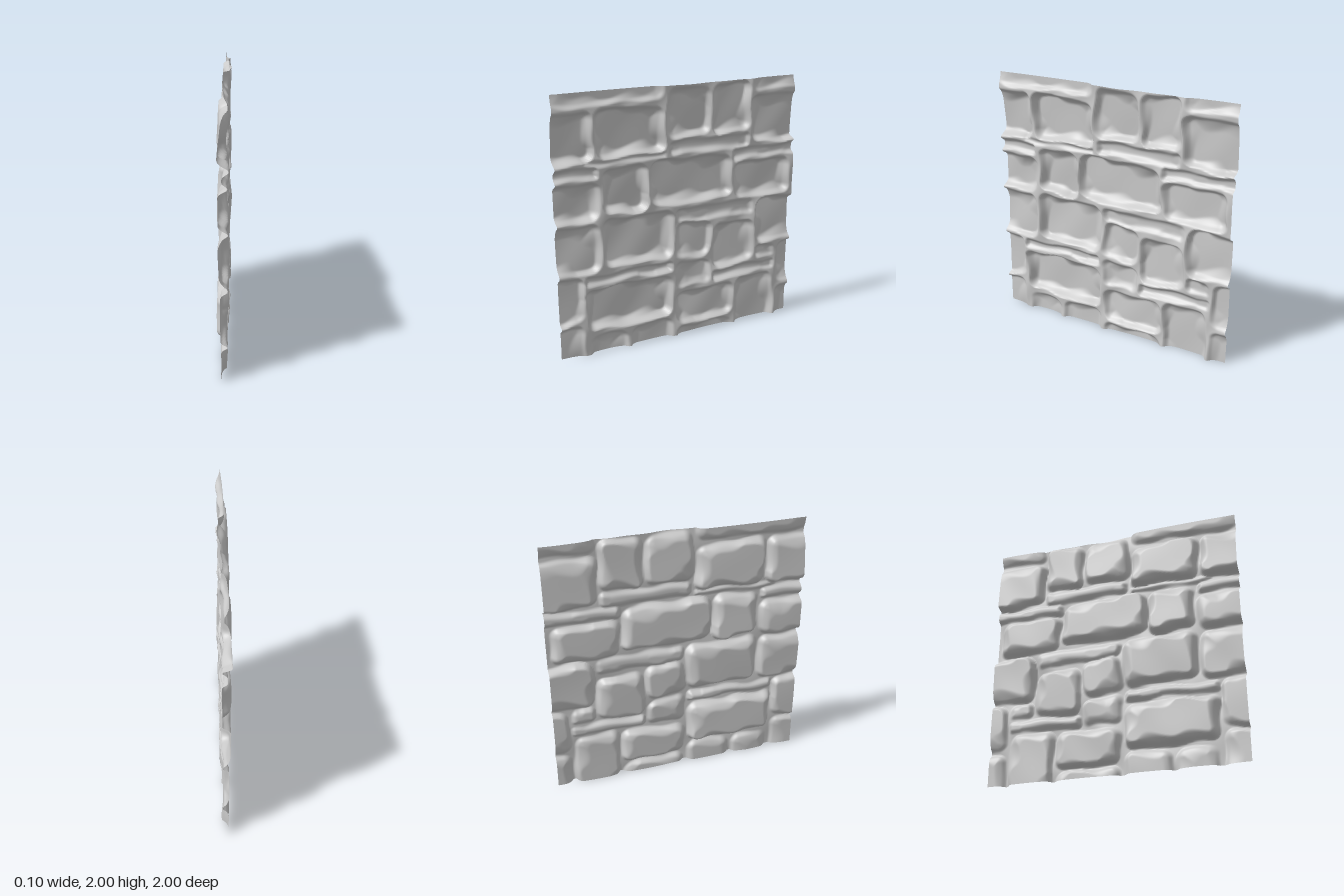
import * as THREE from 'three';

// Stones per course: [zMax, zMin, yMin, yMax, bulge, lean]; lean makes the top stand out further than the foot.
// Stones beyond the border run on past it.
const bottomCourse = [
  [1.2, 0.8, -0.2, 0.26, 0.06, 0], [1.2, 0.8, 0.26, 0.66, 0.064, 0],
  [0.79, 0.45, -0.2, 0.17, 0.064, 0.03], [0.45, 0.07, -0.2, 0.18, 0.056, 0],
  [0.8, 0.07, 0.18, 0.54, 0.095, 0], [0.8, 0.07, 0.55, 0.65, 0.048, 0],
  [0.06, -0.48, 0.08, 0.38, 0.073, 0.03], [0.06, -0.48, -0.2, 0.08, 0.055, 0],
  [-0.48, -0.86, -0.2, 0.4, 0.066, 0], [-0.86, -1.2, -0.2, 0.27, 0.06, 0],
  [-0.86, -1.2, 0.27, 0.65, 0.06, 0], [-0.26, -0.86, 0.4, 0.51, 0.05, 0],
  [0.07, -0.26, 0.39, 0.63, 0.057, 0], [-0.66, -0.86, 0.51, 0.65, 0.05, 0],
];
const middleCourse = [
  [1.2, 0.66, 0.66, 1.05, 0.073, 0.03], [0.65, 0.06, 0.67, 1.07, 0.082, 0.035],
  [0.06, -0.26, 0.63, 0.95, 0.067, 0], [-0.26, -0.66, 0.51, 0.89, 0.073, 0.02],
  [0.06, -0.65, 0.92, 1.07, 0.047, 0], [-0.66, -1.2, 0.65, 1.05, 0.073, 0.02],
  [1.2, 0.66, 1.05, 1.37, 0.078, -0.02], [0.65, 0.27, 1.08, 1.46, 0.09, -0.03],
  [0.27, -0.44, 1.09, 1.46, 0.085, -0.03], [-0.44, -0.98, 1.05, 1.37, 0.075, -0.02],
  [1.2, 0.66, 1.37, 1.48, 0.05, 0], [-0.44, -1.2, 1.37, 1.49, 0.05, 0],
];
const topCourse = [
  [0.8, 0.13, 1.46, 1.53, 0.035, 0], [0.12, -0.6, 1.47, 1.6, 0.047, 0],
  [1.2, 0.7, 1.49, 1.88, 0.075, -0.06], [0.7, 0.13, 1.51, 1.88, 0.088, -0.07],
  [0.13, -0.25, 1.59, 2.0, 0.073, -0.04], [-0.25, -0.6, 1.59, 2.0, 0.071, -0.04],
  [-0.6, -1.2, 1.49, 1.89, 0.075, -0.04], [1.2, 0.13, 1.89, 2.2, 0.053, 0],
  [-0.6, -1.2, 1.89, 2.2, 0.053, 0],
];
const stones = [...bottomCourse, ...middleCourse, ...topCourse];

// Smooth uneven waviness in the range of about -1 to 1
const wave = (a, b, s) =>
  (Math.sin(a * 9 + b * 5 + s) + Math.sin(b * 13 - a * 6 + s * 2.3) + Math.sin(a * 21 + b * 17 + s * 4.1)) / 3;

// Distance inward from the rounded outline of one stone
function inset([z1, z0, y0, y1], z, y) {
  const hz = (z1 - z0) / 2, hy = (y1 - y0) / 2;
  const r = Math.min(0.08, hz * 0.7, hy * 0.7);
  const qz = Math.abs(z - (z0 + z1) / 2) - hz + r;
  const qy = Math.abs(y - (y0 + y1) / 2) - hy + r;
  return r - Math.hypot(Math.max(qz, 0), Math.max(qy, 0)) - Math.min(Math.max(qz, qy), 0);
}

// Depth of the wall: joints lie towards +x, stones bulge towards -x
function wallDepth(z, y) {
  const wz = z + 0.014 * wave(z, y, 1), wy = y + 0.014 * wave(y, z, 4);
  let bulge = 0;
  stones.forEach((stone, i) => {
    const d = inset(stone, wz, wy);
    if (d <= 0) return;
    const [z1, z0, y0, y1, height, lean] = stone;
    // Edges are crisp in places and worn round in others, never wider than the stone allows
    const worn = 0.08 + 0.08 * wave(z, y, i);
    const soft = Math.min(Math.max(worn, 0.03), (y1 - y0) * 0.45);
    const side = 0.75 * (1 - (1 - Math.min(d / soft, 1)) ** 2) + 0.25 * THREE.MathUtils.smoothstep(d, 0, 0.04);
    const tilt = lean * (y - (y0 + y1) / 2) + 0.02 * Math.sin(i * 2.4) * (z - (z0 + z1) / 2);
    bulge = Math.max(bulge, side * (height + tilt + 0.005 * wave(z * 0.7, y * 0.7, i * 3)));
  });
  // Mortar fills the joints to an uneven level and blends into the stones
  const mortar = 0.017 + 0.016 * wave(z, y, 7);
  const blend = Math.max(0.012 - Math.abs(bulge - mortar), 0) ** 2 / 0.048;
  return 0.045 + 0.006 * wave(z * 0.6, y * 0.6, 2) - Math.max(bulge, mortar) - blend;
}

export function createModel() {
  const group = new THREE.Group();
  group.name = 'stoneWallPanel';

  // Upright sheet in the y-z plane, pushed in and out by the stone relief
  const geometry = new THREE.PlaneGeometry(2, 2, 220, 220);
  geometry.rotateY(-Math.PI / 2);
  geometry.translate(0, 1, 0);
  const p = geometry.attributes.position;
  for (let i = 0; i < p.count; i++) p.setX(i, wallDepth(p.getZ(i), p.getY(i)));
  geometry.computeVertexNormals();

  const material = new THREE.MeshStandardMaterial({ color: 0xcccccc, side: THREE.DoubleSide });
  const wall = new THREE.Mesh(geometry, material);
  wall.name = 'stoneRelief';
  group.add(wall);
  return group;
}
